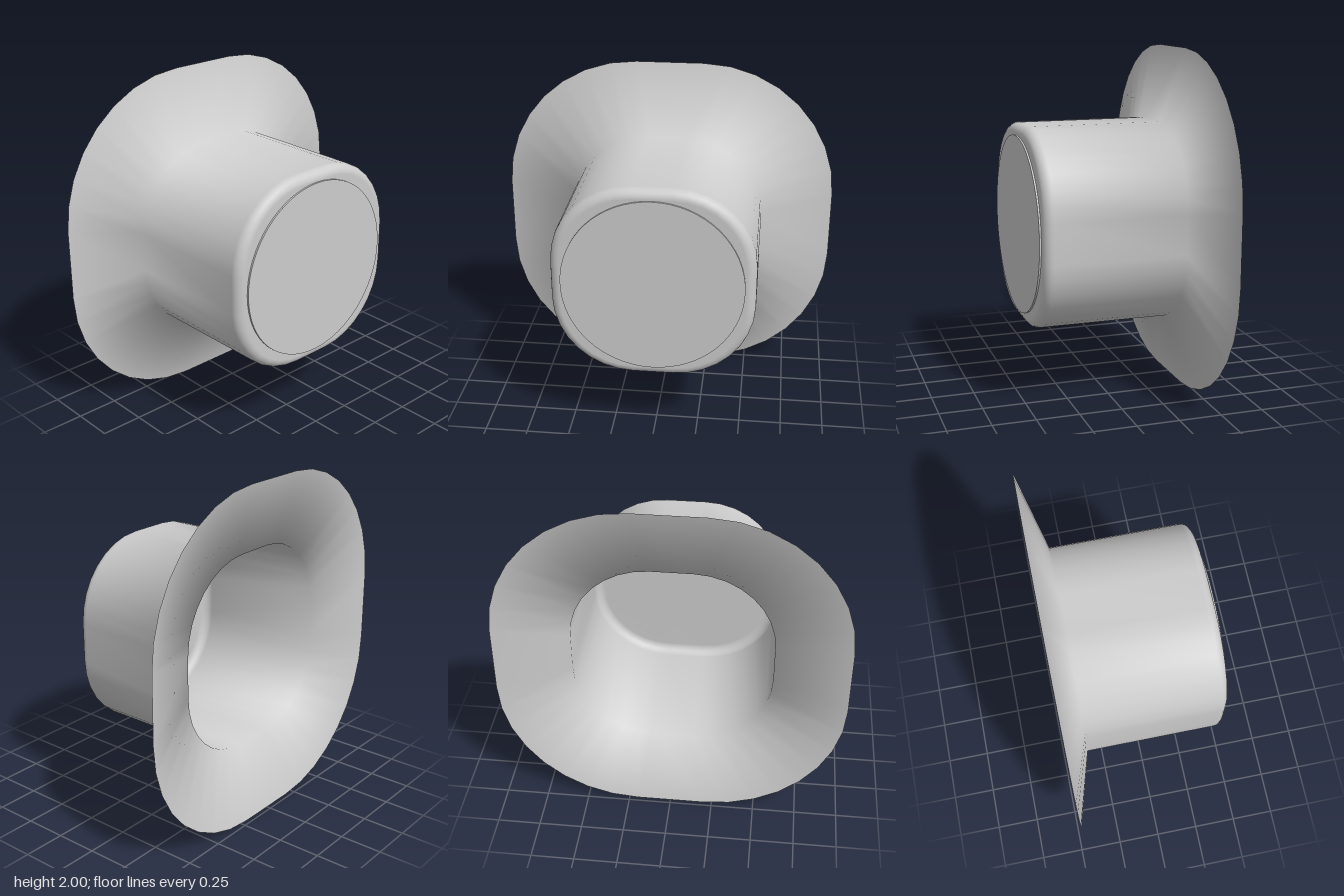
import * as THREE from 'three';

const CORNER_STEPS = 8;

// Rounded-square loop, counter-clockwise seen from the front
function roundedLoop(flat, radius, z) {
  const points = [];
  for (let q = 0; q < 4; q++) {
    const sx = q === 0 || q === 3 ? 1 : -1;
    const sy = q < 2 ? 1 : -1;
    for (let i = 0; i <= CORNER_STEPS; i++) {
      const a = (q + i / CORNER_STEPS) * Math.PI / 2;
      points.push([sx * flat + radius * Math.cos(a), sy * flat + radius * Math.sin(a), z]);
    }
  }
  return points;
}

// Skin over a series of loops, closed by a fan at the front
function loft(loops, frontZ) {
  const n = loops[0].length;
  const positions = loops.flat(2);
  const index = [];
  for (let i = 0; i < loops.length - 1; i++) {
    for (let j = 0; j < n; j++) {
      const k = (j + 1) % n;
      const a = i * n + j, b = i * n + k, c = b + n, d = a + n;
      index.push(a, b, c, a, c, d);
    }
  }
  const centre = positions.length / 3;
  positions.push(0, 0, frontZ);
  const last = (loops.length - 1) * n;
  for (let j = 0; j < n; j++) index.push(last + j, last + (j + 1) % n, centre);

  const geometry = new THREE.BufferGeometry();
  geometry.setAttribute('position', new THREE.Float32BufferAttribute(positions, 3));
  geometry.setIndex(index);
  geometry.computeVertexNormals();
  return geometry;
}

export function createModel() {
  const group = new THREE.Group();
  const material = new THREE.MeshStandardMaterial({ color: 0xcccccc, side: THREE.DoubleSide });

  // Flared skirt running into the tube and its rounded front rim
  const flat = 0.115, radius = 0.46, fillet = 0.055, frontZ = 0.465;
  const loops = [roundedLoop(0.2, 0.8, -0.475), roundedLoop(flat, radius, -0.35)];
  for (let i = 0; i <= 6; i++) {
    const a = (i / 6) * Math.PI / 2;
    loops.push(roundedLoop(flat, radius - fillet * (1 - Math.cos(a)), frontZ - fillet * (1 - Math.sin(a))));
  }
  const shell = new THREE.Mesh(loft(loops, frontZ), material);
  shell.name = 'flaredShell';
  shell.position.y = 1;
  group.add(shell);

  // Thin round plate on the front face
  const plateGeometry = new THREE.CylinderGeometry(0.515, 0.515, 0.01, 64);
  plateGeometry.rotateX(Math.PI / 2);
  const plate = new THREE.Mesh(plateGeometry, material);
  plate.name = 'frontPlate';
  plate.position.set(0, 1, 0.47);
  group.add(plate);

  return group;
}
